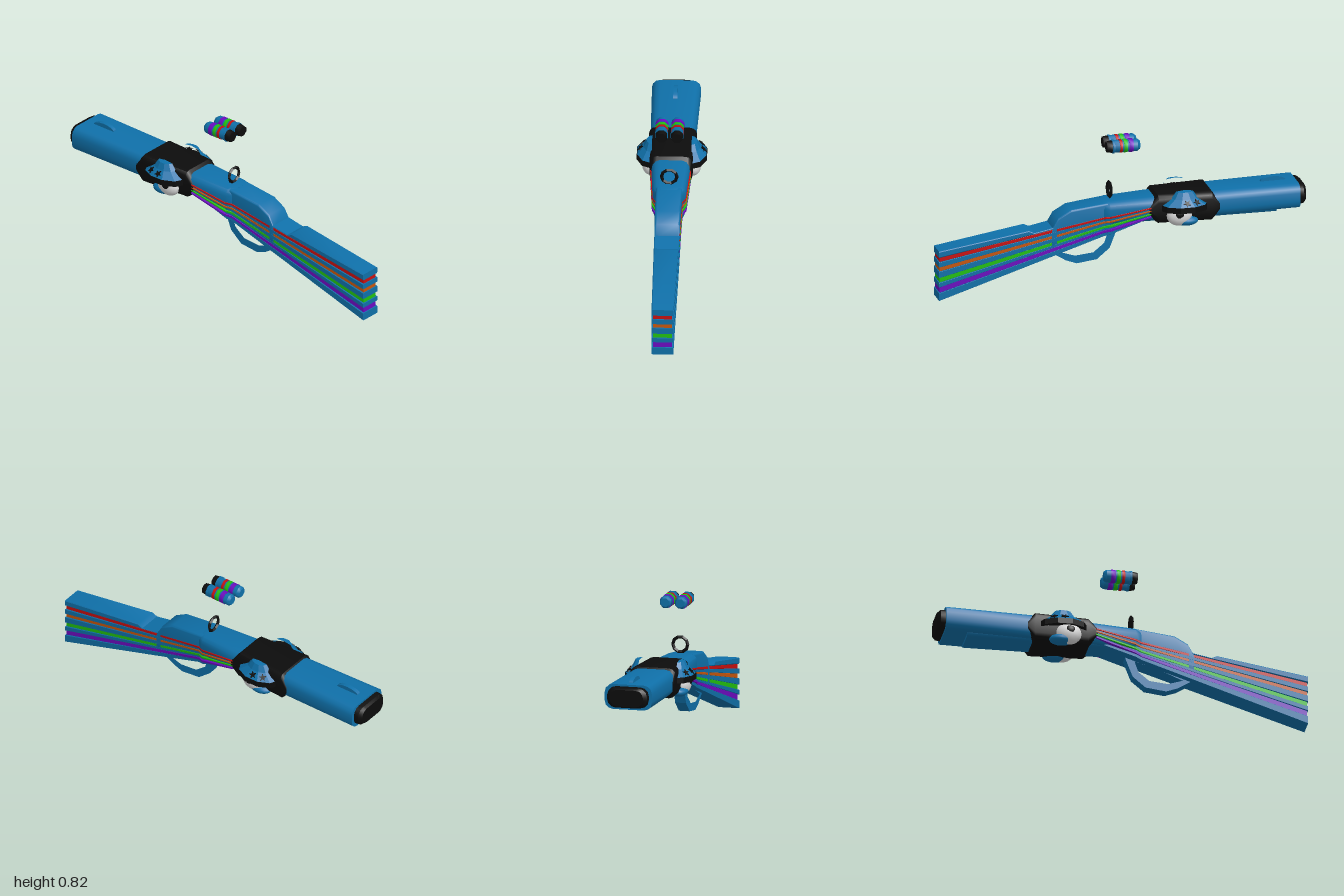
import * as THREE from 'three';
import { toCreasedNormals } from 'three/addons/utils/BufferGeometryUtils.js';

const mat = (name, color) => {
  const m = new THREE.MeshStandardMaterial({ color });
  m.name = name;
  return m;
};

// Loft of rounded rectangles; each section is [z, halfWidth, bottom, top], z ascending
function loft(sections, radius, steps = 3) {
  const pos = [], idx = [], n = 4 * (steps + 1);
  for (const [z, w, y0, y1] of sections) {
    const r = Math.min(radius, w * 0.45, (y1 - y0) * 0.45);
    const corners = [[w - r, y1 - r], [r - w, y1 - r], [r - w, y0 + r], [w - r, y0 + r]];
    corners.forEach(([cx, cy], c) => {
      for (let i = 0; i <= steps; i++) {
        const a = (c + i / steps) * Math.PI / 2;
        pos.push(cx + r * Math.cos(a), cy + r * Math.sin(a), z);
      }
    });
  }
  const last = (sections.length - 1) * n;
  for (let s = 0; s < last; s += n) {
    for (let j = 0; j < n; j++) {
      const k = (j + 1) % n;
      idx.push(s + j, s + k, s + n + k, s + j, s + n + k, s + n + j);
    }
  }
  for (let j = 1; j < n - 1; j++) idx.push(0, j + 1, j, last, last + j, last + j + 1);
  const g = new THREE.BufferGeometry();
  g.setAttribute('position', new THREE.Float32BufferAttribute(pos, 3));
  g.setIndex(idx);
  return toCreasedNormals(g, 0.6);
}

// Cylinder lying along z between two depths
function rod(z0, z1, r0, r1 = r0) {
  const g = new THREE.CylinderGeometry(r1, r0, z1 - z0, 8);
  g.rotateY(Math.PI / 8);
  g.rotateX(Math.PI / 2);
  g.translate(0, 0, (z0 + z1) / 2);
  return toCreasedNormals(g, 0.9);
}

export function createModel() {
  const model = new THREE.Group();
  const blue = mat('blue', 0x0f70a9), black = mat('black', 0x0c0c0c), white = mat('white', 0xdcdcdc);
  const red = mat('red', 0xc81010), orange = mat('orange', 0xc6560c);
  const green = mat('green', 0x22c010), purple = mat('purple', 0x6c0cc0);

  const add = (name, geometry, material, parent = model) => {
    const m = new THREE.Mesh(geometry, material);
    m.name = name;
    parent.add(m);
    return m;
  };

  // Barrel, lower forend and dark muzzle
  add('barrel', loft([[-0.96, 0.13, 0.372, 0.507], [-0.5, 0.12, 0.362, 0.5],
    [-0.2, 0.106, 0.36, 0.489], [0.07, 0.088, 0.345, 0.478], [0.1, 0.07, 0.335, 0.472]], 0.045), blue);
  add('forend', loft([[-0.84, 0.09, 0.353, 0.42], [0, 0.08, 0.353, 0.42]], 0.025), blue);
  add('muzzle', loft([[-1, 0.092, 0.395, 0.485], [-0.985, 0.11, 0.386, 0.495],
    [-0.94, 0.116, 0.382, 0.498]], 0.045), black);

  // Receiver hump
  add('receiver', loft([[0.08, 0.07, 0.32, 0.474], [0.28, 0.068, 0.27, 0.45],
    [0.35, 0.067, 0.25, 0.41], [0.385, 0.067, 0.24, 0.35]], 0.012), blue);

  // Fanned stock: alternating slats and coloured inlays that converge forwards
  const edges = [0, 0.042, 0.075, 0.1, 0.128, 0.162, 0.187, 0.215, 0.24];
  const fills = [blue, purple, blue, green, blue, orange, blue, red];
  const fan = (e, z) => e + (0.37 + 0.29 * e - e) * (1 - z) / 1.14;
  const slatWidths = [[-0.1, 0.08], [0.07, 0.082], [0.1, 0.07], [0.4, 0.067], [1, 0.058]];
  const inlayWidths = [[-0.15, 0.109], [0.065, 0.092], [0.1, 0.073], [0.4, 0.066], [0.995, 0.05]];
  fills.forEach((fill, i) => {
    const widths = fill === blue ? slatWidths : inlayWidths;
    add(fill === blue ? 'stockSlat' : 'stockInlay',
      loft(widths.map(([z, w]) => [z, w, fan(edges[i], z), fan(edges[i + 1], z)]), 0.001, 1), fill);
  });
  add('stockTop', loft([[0.36, 0.067, fan(0.24, 0.36), 0.362], [0.48, 0.066, fan(0.24, 0.48), 0.338],
    [0.51, 0.065, fan(0.24, 0.51), 0.352], [1, 0.058, 0.24, 0.275]], 0.004, 1), blue);

  // Trigger guard
  const pts = (list) => list.map(([z, y]) => new THREE.Vector2(z, y));
  const guard = new THREE.Shape(pts([[0.38, 0.21], [0.3, 0.16], [0.24, 0.138], [0.13, 0.152],
    [0.06, 0.21], [0.025, 0.3], [0.01, 0.345], [0.1, 0.32], [0.36, 0.235]]));
  guard.holes.push(new THREE.Path(pts([[0.33, 0.208], [0.25, 0.182], [0.15, 0.192],
    [0.09, 0.24], [0.07, 0.3], [0.2, 0.262]])));
  const guardGeo = new THREE.ExtrudeGeometry(guard, { depth: 0.06, bevelEnabled: false });
  guardGeo.translate(0, 0, -0.03);
  guardGeo.rotateY(-Math.PI / 2);
  add('triggerGuard', guardGeo, blue);

  // Ring rear sight and half-disc front sight
  const ring = new THREE.TorusGeometry(0.041, 0.009, 4, 10).toNonIndexed();
  ring.computeVertexNormals();
  add('rearSight', ring, black).position.set(0, 0.528, 0.055);
  const bead = new THREE.CylinderGeometry(0.07, 0.07, 0.022, 16);
  bead.rotateZ(Math.PI / 2);
  bead.scale(1, 0.4, 1);
  add('frontSight', bead, blue).position.set(0, 0.501, -0.84);

  // Dark wrap around the barrel, pointed on its sides
  add('wrap', loft([[-0.52, 0.125, 0.395, 0.455], [-0.48, 0.127, 0.345, 0.507],
    [-0.19, 0.113, 0.345, 0.503], [-0.14, 0.108, 0.39, 0.45]], 0.038), black);

  // Star shape for the lids
  const star = new THREE.Shape(Array.from({ length: 10 }, (_, i) => {
    const r = i % 2 ? 0.009 : 0.022, a = Math.PI / 2 + i * Math.PI / 5;
    return new THREE.Vector2(r * Math.cos(a), r * Math.sin(a));
  }));
  const starGeo = new THREE.ExtrudeGeometry(star, { depth: 0.005, bevelEnabled: false });
  const ball = (x, y, z) => new THREE.SphereGeometry(1, 16, 10).scale(x, y, z);
  const halfLathe = (profile, side) => {
    const g = new THREE.LatheGeometry(pts(profile), 5, side > 0 ? 0 : Math.PI, Math.PI);
    g.scale(0.085, 1, 0.13);
    return toCreasedNormals(g, 0.3);
  };

  // Eye on each side with a flared lid, dark lash and lower lid
  for (const side of [1, -1]) {
    const eye = new THREE.Group();
    eye.name = side > 0 ? 'leftEye' : 'rightEye';
    model.add(eye);
    add('eyeball', ball(0.045, 0.06, 0.07), white, eye).position.set(side * 0.114, 0.393, -0.3);
    add('pupil', ball(0.012, 0.024, 0.026), black, eye).position.set(side * 0.149, 0.403, -0.295);
    add('lowerLid', ball(0.045, 0.028, 0.065), blue, eye).position.set(side * 0.108, 0.358, -0.34);
    add('upperLid', halfLathe([[0, 0.45], [0.98, 0.45], [0.55, 0.485], [0.35, 0.52], [0, 0.526]], side),
      blue, eye).position.set(side * 0.105, 0, -0.33);
    add('lash', halfLathe([[0, 0.435], [0.7, 0.43], [1, 0.42], [1, 0.451], [0, 0.451]], side),
      black, eye).position.set(side * 0.105, 0, -0.33);
    for (const turn of [0, 1]) {
      const s = add('star', starGeo, black, eye);
      s.position.set(side * (turn ? 0.155 : 0.167), 0.468, turn ? -0.386 : -0.33);
      const n = new THREE.Vector3(side, 1, turn ? -0.47 : 0).normalize();
      s.quaternion.setFromUnitVectors(new THREE.Vector3(0, 0, 1), n);
    }
  }

  // Pair of floating striped shells
  for (const side of [1, -1]) {
    const shell = new THREE.Group();
    shell.name = side > 0 ? 'leftShell' : 'rightShell';
    shell.position.set(side * 0.042, 0.781, 0);
    model.add(shell);
    add('shellBody', rod(-0.085, 0.05, 0.034), blue, shell);
    add('shellTip', rod(-0.1, -0.085, 0.024, 0.034), blue, shell);
    add('shellRim', rod(0.04, 0.052, 0.037), blue, shell);
    add('shellCap', rod(0.052, 0.082, 0.034, 0.029), black, shell);
    add('redBand', rod(-0.002, 0.013, 0.0365), red, shell);
    add('greenBand', rod(-0.03, -0.01, 0.0365), green, shell);
    add('purpleBand', rod(-0.062, -0.038, 0.0365), purple, shell);
  }
  return model;
}
